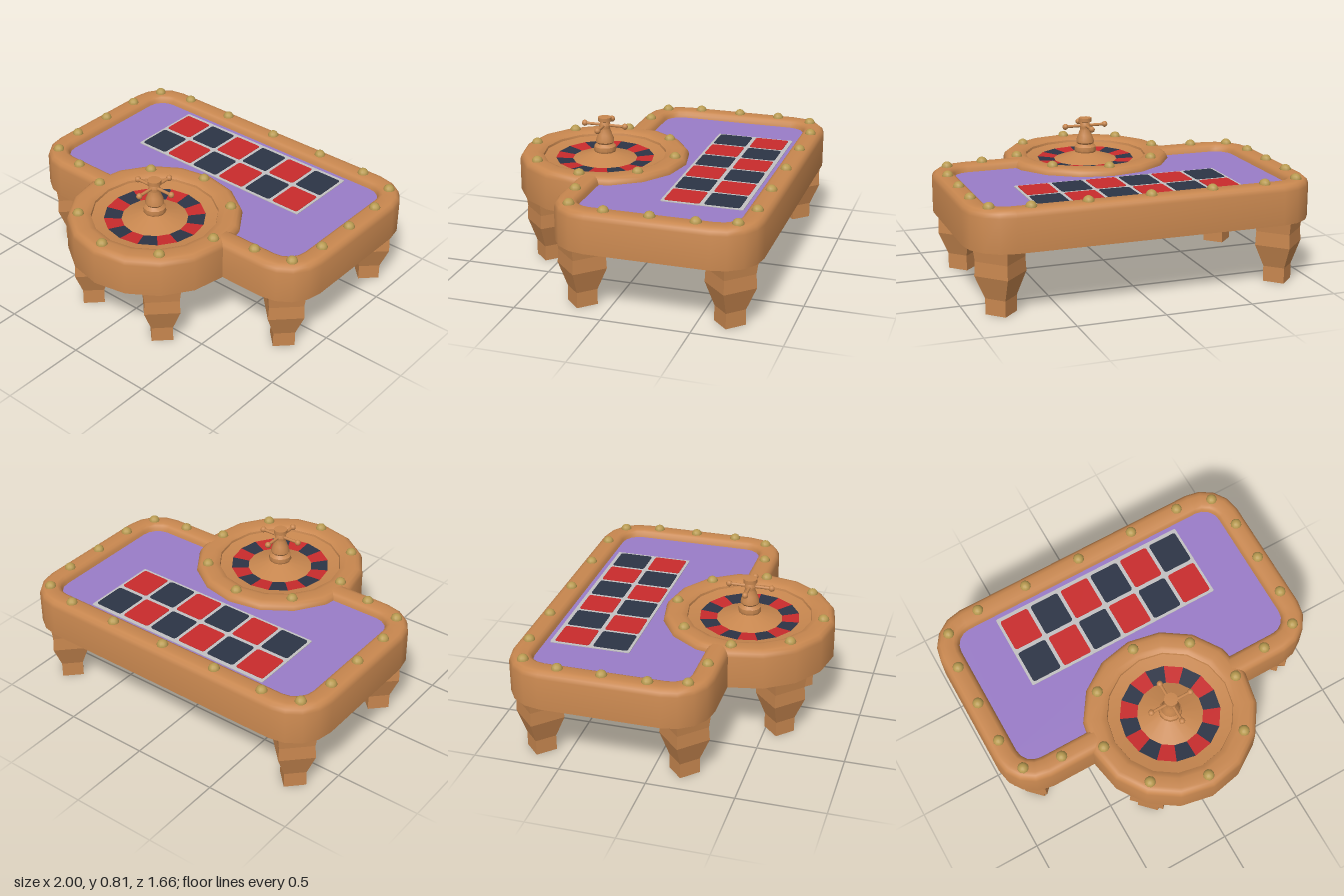
import * as THREE from 'three';
import { toCreasedNormals } from 'three/addons/utils/BufferGeometryUtils.js';

const WHEEL_Z = 0.325;

function mat(name, color) {
  const m = new THREE.MeshStandardMaterial({ color });
  m.name = name;
  return m;
}

// Rounded rectangle as [x, z] points, starting and ending at the middle of its +z side
function outline(hx, z0, z1, r, seg, gap = 0) {
  const pts = [[gap, z1]];
  const corners = [[hx - r, z1 - r], [hx - r, z0 + r], [r - hx, z0 + r], [r - hx, z1 - r]];
  corners.forEach(([cx, cz], q) => {
    for (let i = 0; i <= seg; i++) {
      const a = (q + i / seg) * Math.PI / 2;
      pts.push([cx + r * Math.sin(a), cz + r * Math.cos(a)]);
    }
  });
  pts.push([-gap, z1]);
  return pts;
}

// Skin a stack of equal-length rings of [x, y, z] points
function loft(rings) {
  const n = rings[0].length, index = [];
  for (let i = 0; i < rings.length - 1; i++) {
    for (let j = 0; j < n - 1; j++) {
      const a = i * n + j, b = a + 1, c = b + n, d = a + n;
      index.push(a, b, c, a, c, d);
    }
  }
  const g = new THREE.BufferGeometry();
  g.setAttribute('position', new THREE.Float32BufferAttribute(rings.flat(2), 3));
  g.setIndex(index);
  return toCreasedNormals(g, 0.65);
}

function lathe(profile, seg, crease = 0.65, start = 0, length = Math.PI * 2) {
  const g = new THREE.LatheGeometry(profile.map(p => new THREE.Vector2(...p)), seg, start, length);
  return toCreasedNormals(g, crease);
}

// Flat face from [x, z] points, looking up or down
function flat(pts, up) {
  const s = new THREE.Shape(pts.map(([x, z]) => new THREE.Vector2(x, up ? -z : z)));
  return new THREE.ShapeGeometry(s).rotateX(up ? -Math.PI / 2 : Math.PI / 2);
}

// Thin plate with rounded corners, centred on its own origin
function plate(w, d, r, t) {
  const s = new THREE.Shape(outline(w / 2, -d / 2, d / 2, r, 3).slice(1, -1).map(([x, z]) => new THREE.Vector2(x, -z)));
  return new THREE.ExtrudeGeometry(s, { depth: t, bevelEnabled: false }).rotateX(-Math.PI / 2);
}

export function createModel() {
  const root = new THREE.Group();
  root.name = 'rouletteTable';
  const wood = mat('wood', 0xc8874f), felt = mat('purpleFelt', 0x9a7cc8);
  const red = mat('red', 0xc92b2c), navy = mat('navy', 0x2c3446);
  const grey = mat('lightGrey', 0xc2c1c2), gold = mat('gold', 0xb89a50);
  const under = mat('darkUnderside', 0x553628);

  function add(name, geometry, material, x = 0, y = 0, z = 0, parent = root) {
    const m = new THREE.Mesh(geometry, material);
    m.name = name;
    m.position.set(x, y, z);
    parent.add(m);
    return m;
  }

  // Padded rail, open where the wheel interrupts it
  const railProfile = [[0, 0.37], [0, 0.56], [0.008, 0.583], [0.025, 0.597], [0.045, 0.6], [0.1, 0.6],
    [0.117, 0.592], [0.127, 0.577], [0.133, 0.555]];
  add('rail', loft(railProfile.map(([d, y]) =>
    outline(1 - d, -0.832 + d, 0.325 - d, 0.235 - d, 4, 0.44).map(([x, z]) => [x, y, z]))), wood);

  // Felt, cut away around the wheel
  const feltPts = outline(0.875, -0.707, 0.2, 0.11, 4, 0.44);
  for (let i = 1; i < 12; i++) {
    const a = Math.PI * (1.5 - i / 12);
    feltPts.push([0.46 * Math.sin(a), WHEEL_Z + 0.46 * Math.cos(a)]);
  }
  add('felt', flat(feltPts, true), felt, 0, 0.56, 0);

  // Underside of table and wheel
  add('tableUnderside', flat(outline(1, -0.832, 0.325, 0.235, 4), false), under, 0, 0.37, 0);
  const circle = [];
  for (let i = 0; i < 16; i++) {
    const a = i * Math.PI / 8;
    circle.push([0.5 * Math.sin(a), 0.5 * Math.cos(a)]);
  }
  add('wheelUnderside', flat(circle, false), under, 0, 0.37, WHEEL_Z);

  // Betting grid
  add('bettingBoard', plate(1.21, 0.465, 0.008, 0.004), grey, 0, 0.56, -0.441);
  for (let row = 0; row < 2; row++) {
    for (let col = 0; col < 6; col++) {
      add('bettingSquare', plate(0.178, 0.2, 0.014, 0.003), (row + col) % 2 ? navy : red,
        -0.5 + col * 0.2, 0.564, row ? -0.325 : -0.55);
    }
  }

  // Wheel: rim and bowl, pockets, cone
  const wheel = new THREE.Group();
  wheel.name = 'wheel';
  wheel.position.z = WHEEL_Z;
  root.add(wheel);
  add('wheelRim', lathe([[0.5, 0.37], [0.5, 0.56], [0.492, 0.583], [0.475, 0.597], [0.455, 0.6], [0.4, 0.6],
    [0.38, 0.595], [0.363, 0.585], [0.36, 0.572], [0.29, 0.56]], 16), wood, 0, 0, 0, wheel);
  for (let i = 0; i < 16; i++) {
    add('pocket', lathe([[0.29, 0.56], [0.19, 0.552]], 1, 0.65, i * Math.PI / 8, Math.PI / 8),
      i % 2 ? navy : red, 0, 0, 0, wheel);
  }
  add('wheelCone', lathe([[0.19, 0.552], [0.06, 0.595]], 16), wood, 0, 0, 0, wheel);

  // Turned hub with a four-armed handle
  add('hub', lathe([[0.055, 0.58], [0.067, 0.605], [0.065, 0.628], [0.048, 0.645], [0.055, 0.655], [0.053, 0.672],
    [0.042, 0.7], [0.03, 0.735], [0.034, 0.755], [0.026, 0.775], [0.04, 0.78], [0.04, 0.803], [0, 0.805]], 12),
  wood, 0, 0, 0, wheel);
  const arm = new THREE.CylinderGeometry(0.009, 0.009, 0.25, 8).rotateZ(Math.PI / 2);
  const knob = new THREE.SphereGeometry(0.018, 10, 8);
  for (let i = 0; i < 2; i++) {
    const handle = new THREE.Group();
    handle.name = 'handle';
    handle.position.y = 0.755;
    handle.rotation.y = i * Math.PI / 2;
    wheel.add(handle);
    add('handleArm', arm, wood, 0, 0, 0, handle);
    for (const s of [-1, 1]) add('handleKnob', knob, wood, s * 0.125, 0, 0, handle);
  }

  // Domed studs on the rail and wheel rim
  const stud = new THREE.SphereGeometry(0.033, 10, 5, 0, Math.PI * 2, 0, Math.PI / 2);
  const addStud = (x, z) => add('stud', stud, gold, x, 0.597, z);
  const studs = [[0.93, -0.505], [0.93, -0.255], [0.93, 0], [0.885, 0.21], [0.665, 0.257],
    [0.885, -0.718], [0.67, -0.767], [0.356, -0.767]];
  for (const [x, z] of studs) for (const s of [-1, 1]) addStud(s * x, z);
  addStud(0, -0.767);
  for (let i = 0; i < 8; i++) {
    const a = i * Math.PI / 4;
    addStud(0.432 * Math.sin(a), WHEEL_Z + 0.432 * Math.cos(a));
  }

  // Square tapered legs, corners forward
  const leg = lathe([[0, 0], [0.087, 0], [0.087, 0.09], [0.143, 0.22], [0.138, 0.3], [0.148, 0.372]], 4, 0.05);
  for (const [x, z] of [[0.815, -0.667], [0.815, 0.168], [0.267, 0.577]]) {
    for (const s of [-1, 1]) add('leg', leg, wood, s * x, 0, z);
  }
  return root;
}
